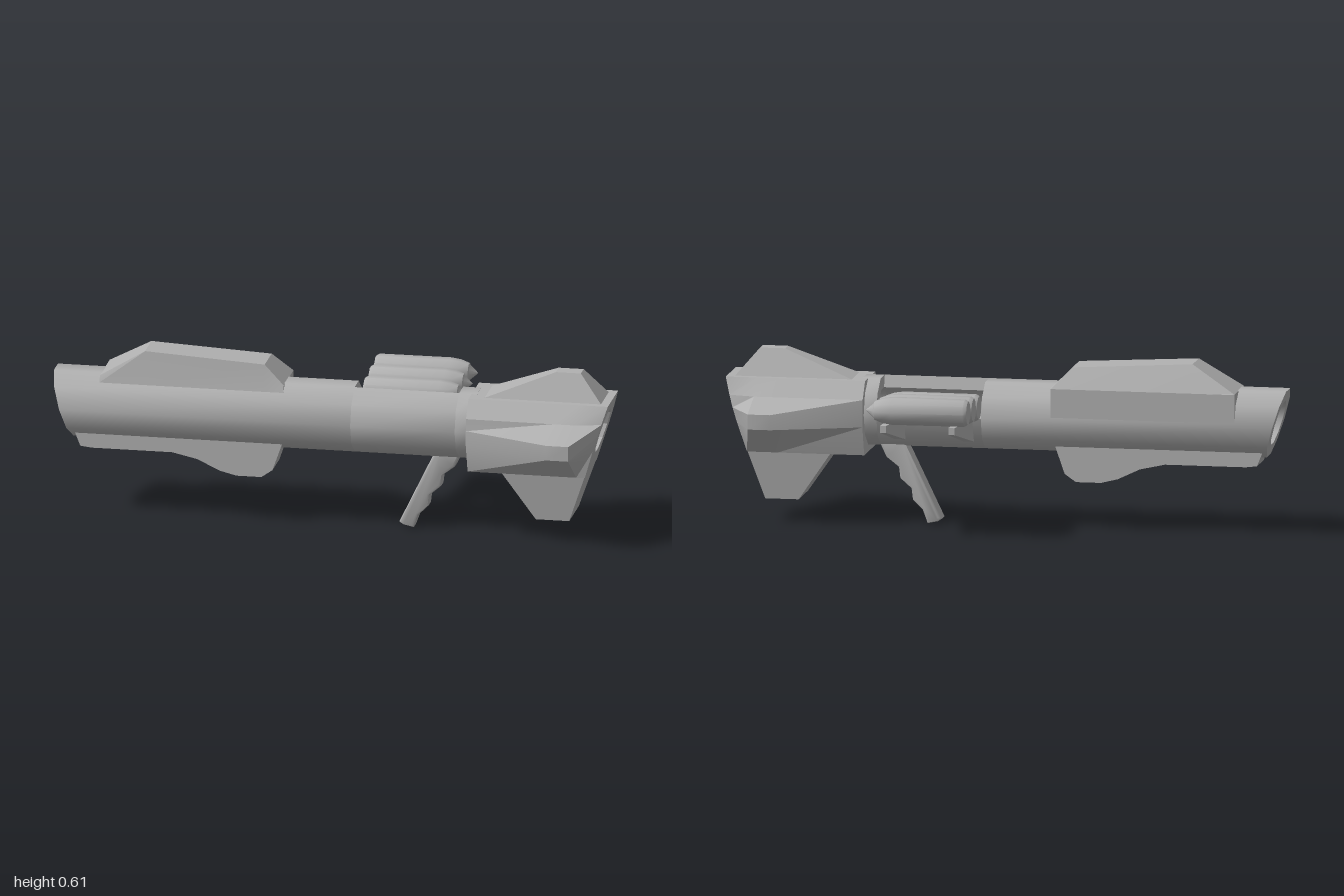
import * as THREE from 'three';
import { toCreasedNormals } from 'three/addons/utils/BufferGeometryUtils.js';
import { ConvexGeometry } from 'three/addons/geometries/ConvexGeometry.js';

// Axis of the barrel runs along x at this height and depth
const CY = 0.397, CZ = 0.078, OUTER = 0.125, BORE = 0.08;

export function createModel() {
  const group = new THREE.Group();
  const grey = new THREE.MeshStandardMaterial({ color: 0xb0b0b0, side: THREE.DoubleSide });

  const add = (name, geometry, crease = 0.65) => {
    const mesh = new THREE.Mesh(toCreasedNormals(geometry, crease), grey);
    mesh.name = name;
    group.add(mesh);
    return mesh;
  };

  // Skin a list of rings of [x, y, z]; wrap joins each ring's ends, loop joins last ring to first
  const loft = (rings, { wrap = true, loop = false, caps = false } = {}) => {
    const n = rings[0].length, pos = [];
    const tri = (a, b, c) => pos.push(...a, ...b, ...c);
    for (let r = 0; r < rings.length - (loop ? 0 : 1); r++) {
      const p = rings[r], q = rings[(r + 1) % rings.length];
      for (let i = 0; i < n - (wrap ? 0 : 1); i++) {
        const j = (i + 1) % n;
        tri(p[i], q[i], q[j]);
        tri(p[i], q[j], p[j]);
      }
    }
    if (caps) {
      const p = rings[0], q = rings[rings.length - 1];
      for (let i = 0; i < n - 2; i++) {
        tri(p[n - 1], p[i], p[i + 1]);
        tri(q[n - 1], q[i + 1], q[i]);
      }
    }
    const g = new THREE.BufferGeometry();
    g.setAttribute('position', new THREE.Float32BufferAttribute(pos, 3));
    g.computeVertexNormals();
    return g;
  };

  // Ten-sided ring; x may depend on height for a slanted cut
  const ring = (radius, xAt, from = 0, count = 10) =>
    Array.from({ length: count }, (_, i) => {
      const a = (from + i) * Math.PI / 5;
      const y = CY + radius * Math.sin(a);
      return [xAt(y), y, CZ + radius * Math.cos(a)];
    });
  const at = x => () => x;
  const muzzle = y => -0.93 - 0.07 * (y - 0.278) / 0.238;
  const breech = y => 0.92 + 0.08 * (y - 0.25) / 0.265;

  // Hollow barrel, and the collar behind the loading port
  const pipe = (a, b) => loft([ring(OUTER, a), ring(OUTER, b), ring(BORE, b), ring(BORE, a)], { loop: true });
  add('barrel', pipe(muzzle, at(0.08)));
  add('portCollar', pipe(at(0.455), at(0.52)));

  // Barrel wall around the loading port, open at the upper rear
  const part = [OUTER, OUTER, BORE, BORE].map((r, i) => ring(r, at(i === 0 || i === 3 ? 0.08 : 0.455), 5, 8));
  add('portWall', loft(part, { wrap: false, loop: true }));
  for (const k of [0, 7]) {
    const edge = part.map(p => p[k]);
    add('portEdge', k === 0
      ? loft([[edge[0], edge[3]], [edge[1], edge[2]]].map(e => e.reverse()), { wrap: false })
      : loft([[edge[0], edge[3]], [edge[1], edge[2]]], { wrap: false }));
  }

  // Tail housing with side fins, hollowed by the bore
  const tailRing = (xAt, tip, shoulder) => {
    const half = [[0.098, 0.515], [shoulder, 0.455], [tip, 0.412], [tip, 0.358], [0.115, 0.252]];
    const rightHalf = half.map(([z, y]) => [xAt(y), y, CZ - z]);
    const leftHalf = half.map(([z, y]) => [xAt(y), y, CZ + z]).reverse();
    // starts at the lower left so that each corner faces one bore corner
    return [...leftHalf, ...rightHalf];
  };
  add('tailHousing', loft([
    tailRing(at(0.5), 0.15, 0.145),
    tailRing(at(0.81), 0.267, 0.147),
    tailRing(at(0.89), 0.267, 0.147),
    tailRing(breech, 0.135, 0.125),
    ring(BORE, breech, 8),
    ring(BORE, at(0.5), 8),
  ], { loop: true }), 0.5);

  // Upper and lower tail fins
  const fin = (name, baseX, baseY, baseZ, tipX, tipY, tipZ) => {
    const pts = [];
    for (const s of [-1, 1]) {
      baseX.forEach(x => pts.push(new THREE.Vector3(x, baseY, CZ + s * baseZ)));
      tipX.forEach(x => pts.push(new THREE.Vector3(x, tipY, CZ + s * tipZ)));
    }
    add(name, new ConvexGeometry(pts), 0.3);
  };
  fin('upperFin', [0.54, 0.975], 0.51, 0.076, [0.8, 0.89], 0.61, 0.027);
  fin('lowerFin', [0.62, 0.92], 0.256, 0.114, [0.74, 0.86], 0.082, 0.09);

  // Faceted cover on top of the barrel
  const cover = (x, top, zFront, zBack) => [
    [0.478, 0.155], [0.49, 0.152], [top, zFront], [top, zBack],
    [0.513, -0.046], [0.41, -0.046], [0.478, -0.015],
  ].map(([y, z]) => [x, y, z]);
  add('topCover', loft([
    cover(-0.83, 0.514, 0.14, -0.044),
    cover(-0.67, 0.609, 0.13, 0.008),
    cover(-0.24, 0.585, 0.132, 0),
    cover(-0.17, 0.514, 0.14, -0.044),
  ], { caps: true }), 0.3);

  // Side profiles given depth, centred on the barrel
  const slab = (name, points, z, depth, bevel) => {
    const g = new THREE.ExtrudeGeometry(new THREE.Shape(points.map(p => new THREE.Vector2(...p))), {
      depth: depth - 2 * bevel, bevelEnabled: bevel > 0, bevelSize: bevel,
      bevelThickness: bevel, bevelOffset: -bevel, bevelSegments: 2,
    });
    g.translate(0, 0, z - depth / 2 + bevel);
    add(name, g, 0.6);
  };
  slab('underCover', [
    [-0.92, 0.3], [-0.9, 0.25], [-0.86, 0.245], [-0.57, 0.245], [-0.48, 0.225], [-0.4, 0.187],
    [-0.34, 0.172], [-0.25, 0.172], [-0.21, 0.2], [-0.175, 0.3],
  ], CZ, 0.13, 0);
  slab('grip', [
    [0.37, 0.3], [0.235, 0.02], [0.25, 0.01], [0.287, 0.002], [0.305, 0.05], [0.34, 0.085],
    [0.345, 0.125], [0.385, 0.16], [0.39, 0.2], [0.435, 0.235], [0.465, 0.3],
  ], 0.066, 0.066, 0.01);

  // Three spare rockets beside the loading port
  const rocketProfile = [[0, 0], [0.042, 0], [0.049, 0.012], [0.05, 0.27], [0.045, 0.305],
    [0.034, 0.335], [0.027, 0.338], [0, 0.368]].map(p => new THREE.Vector2(...p));
  [[0.445, -0.09], [0.455, -0.192], [0.462, -0.296]].forEach(([y, z]) => {
    const g = new THREE.LatheGeometry(rocketProfile, 10);
    g.rotateZ(-Math.PI / 2);
    add('rocket', g, 0.7).position.set(0.078, y, z);
  });

  // Two tapering rack arms under the rockets
  for (const x of [0.13, 0.375]) {
    const pts = [];
    for (const s of [-1, 1]) {
      for (const [y, z, w] of [[0.415, -0.342, 0.011], [0.39, -0.342, 0.011], [0.397, -0.03, 0.02], [0.31, -0.015, 0.02]]) {
        pts.push(new THREE.Vector3(x + s * w, y, z));
      }
    }
    add('rackArm', new ConvexGeometry(pts), 0.2);
  }
  return group;
}
